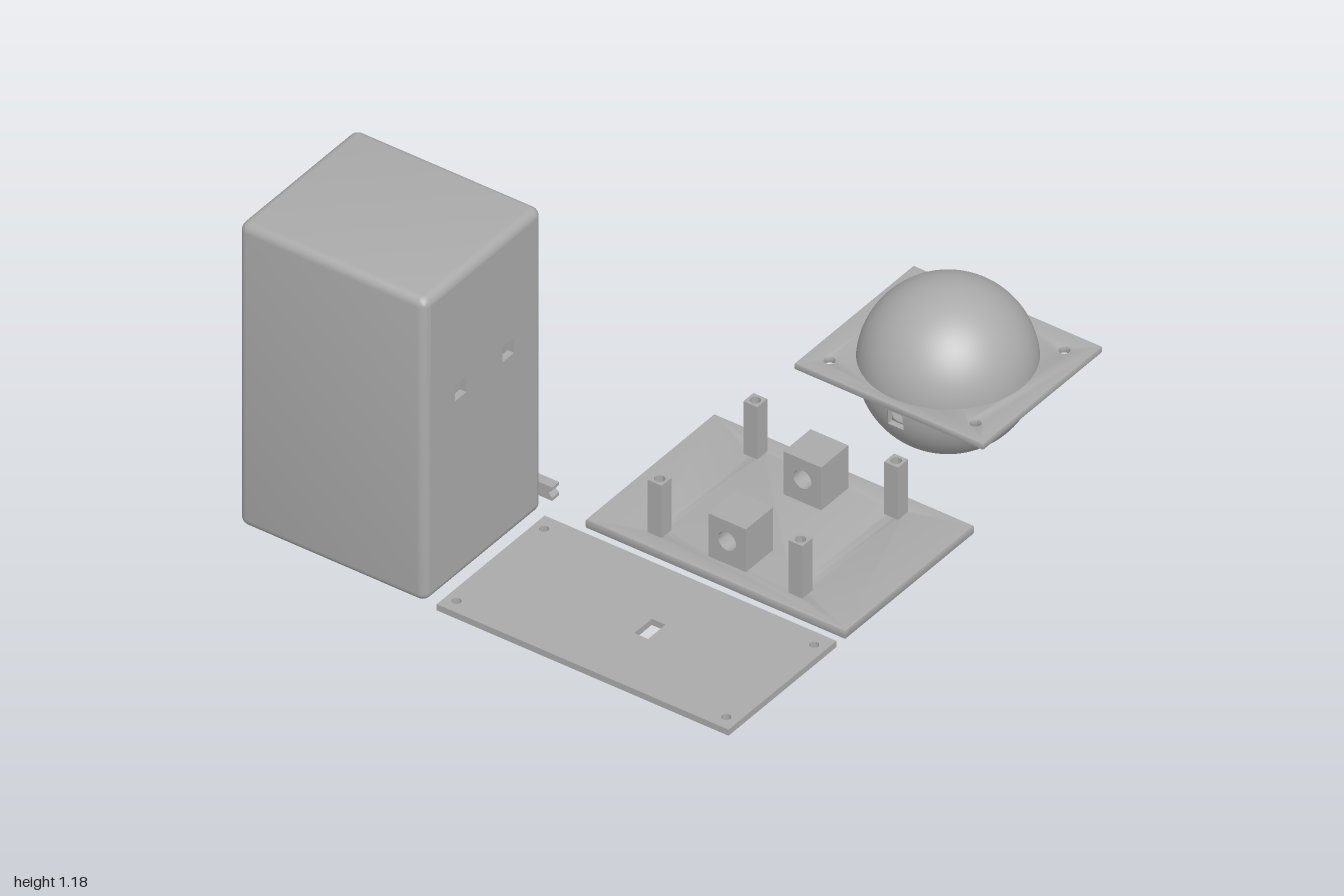
import * as THREE from 'three';
import { toCreasedNormals } from 'three/addons/utils/BufferGeometryUtils.js';

const grey = new THREE.MeshStandardMaterial({ color: 0xaaaaaa, side: THREE.DoubleSide });
grey.name = 'plain grey';

function add(parent, name, geometry) {
  const mesh = new THREE.Mesh(geometry, grey);
  mesh.name = name;
  parent.add(mesh);
  return mesh;
}

function rect(PathType, x0, x1, y0, y1) {
  return new PathType([[x0, y0], [x1, y0], [x1, y1], [x0, y1]].map(p => new THREE.Vector2(...p)));
}

function circle(x, y, r) {
  return new THREE.Path().absarc(x, y, r, 0, Math.PI * 2, true);
}

function extrude(shape, depth, bevel = 0) {
  const g = new THREE.ExtrudeGeometry(shape, {
    depth: depth - 2 * bevel, curveSegments: 24, bevelEnabled: bevel > 0,
    bevelSize: bevel, bevelThickness: bevel, bevelOffset: -bevel, bevelSegments: 2,
  });
  g.translate(0, 0, bevel);
  return toCreasedNormals(g, 0.6);
}

// Horizontal slab with vertical holes
function slab(x0, x1, z0, z1, y, height, holes, bevel) {
  const shape = rect(THREE.Shape, x0, x1, -z1, -z0);
  shape.holes.push(...holes);
  return extrude(shape, height, bevel).rotateX(-Math.PI / 2).translate(0, y, 0);
}

// Profile of (-z, y) extruded along x
function alongX(shape, x0, x1) {
  return extrude(shape, x1 - x0).rotateY(Math.PI / 2).translate(x0, 0, 0);
}

function cornerHoles(xs, zs, r) {
  return xs.flatMap(x => zs.map(z => circle(x, -z, r)));
}

// Rounded tall case with a recessed back and two square front openings
function buildCase() {
  const group = new THREE.Group();
  group.name = 'case';
  const x0 = -1, x1 = -0.37, y1 = 1.18, front = -0.225, back = -0.95, r = 0.032, steps = 5;
  const sections = [];
  for (let i = 0; i <= steps; i++) {
    const a = i / steps * Math.PI / 2;
    sections.push([front - r * (1 - Math.sin(a)), r * (1 - Math.cos(a))]);
  }
  const rounded = sections.map(([z, inset]) => [z, inset]);
  sections.length = 0;
  // front edge, back edge, then the step into the recess
  rounded.forEach((s, i) => {
    const a = i / steps * Math.PI / 2;
    sections.push([front - r * (1 - Math.cos(a)), r * (1 - Math.sin(a))]);
  });
  for (let i = 0; i <= steps; i++) {
    const a = i / steps * Math.PI / 2;
    sections.push([back + r * (1 - Math.sin(a)), r * (1 - Math.cos(a))]);
  }
  sections.push([back + 0.03, r]);

  const pos = [], index = [], n = 4 * (steps + 1);
  for (const [z, inset] of sections) {
    for (let k = 0; k < n; k++) {
      const corner = Math.floor(k / (steps + 1));
      const a = (corner + (k % (steps + 1)) / steps) * Math.PI / 2;
      const cx = corner === 0 || corner === 3 ? x1 - r : x0 + r;
      const cy = corner < 2 ? y1 - r : r;
      pos.push(cx + (r - inset) * Math.cos(a), cy + (r - inset) * Math.sin(a), z);
    }
  }
  for (let s = 0; s < sections.length - 1; s++) {
    for (let k = 0; k < n; k++) {
      const a = s * n + k, b = s * n + (k + 1) % n;
      index.push(a, a + n, b, b, a + n, b + n);
    }
  }
  const shell = new THREE.BufferGeometry();
  shell.setAttribute('position', new THREE.Float32BufferAttribute(pos, 3));
  shell.setIndex(index);
  add(group, 'caseWalls', toCreasedNormals(shell, 0.6));

  const face = rect(THREE.Shape, x0 + r, x1 - r, r, y1 - r);
  for (const x of [-0.81, -0.555]) {
    face.holes.push(rect(THREE.Path, x - 0.031, x + 0.031, 0.7, 0.762));
  }
  add(group, 'caseFront', extrude(face, 0.025).translate(0, 0, front - 0.025));

  const cx = (x0 + x1) / 2, width = x1 - x0 - 2 * r;
  add(group, 'caseBack', new THREE.PlaneGeometry(width, y1 - 2 * r)
    .rotateY(Math.PI).translate(cx, y1 / 2, back + 0.03));
  for (const y of [0.2, 0.52]) {
    add(group, 'backSeam', new THREE.BoxGeometry(width, 0.004, 0.004).translate(cx, y, back + 0.029));
  }
  return group;
}

// Hollow ball with two round and two square ports, set in a mounting flange
function buildBall() {
  const group = new THREE.Group();
  group.name = 'ballMount';
  const outer = 0.29, inner = 0.267, ball = new THREE.Group();
  ball.name = 'ball';
  ball.position.set(0.68, 0.295, 0.585);
  group.add(ball);
  const ports = [];
  for (const side of [-1, 1]) {
    ports.push({ axis: new THREE.Vector3(side * 0.13, -0.11, -0.235).normalize(), centre: new THREE.Vector3(), size: 0.05 });
    ports.push({ axis: new THREE.Vector3(side, 0, 0), centre: new THREE.Vector3(0, -0.055, 0), size: 0.03, square: true });
  }

  // Moves vertices inside a port to its rim and drops the faces within
  function skin(radius) {
    const src = new THREE.SphereGeometry(radius, 160, 100).toNonIndexed().attributes.position;
    const pos = [], normals = [];
    for (let i = 0; i < src.count; i += 3) {
      const tri = [];
      let inside = 0;
      for (let j = 0; j < 3; j++) {
        const v = new THREE.Vector3().fromBufferAttribute(src, i + j);
        for (const { axis, centre, size, square } of ports) {
          const along = v.dot(axis);
          if (along <= 0) continue;
          const p = v.clone().addScaledVector(axis, -along).sub(centre);
          const d = square ? Math.max(Math.abs(p.y), Math.abs(p.z)) : p.length();
          if (d >= size) continue;
          inside++;
          p.multiplyScalar(size / Math.max(d, 1e-6)).add(centre);
          v.copy(p).addScaledVector(axis, Math.sqrt(radius * radius - p.lengthSq()));
          break;
        }
        tri.push(v);
      }
      if (inside === 3) continue;
      for (const v of tri) {
        pos.push(v.x, v.y, v.z);
        normals.push(v.x / radius, v.y / radius, v.z / radius);
      }
    }
    const g = new THREE.BufferGeometry();
    g.setAttribute('position', new THREE.Float32BufferAttribute(pos, 3));
    g.setAttribute('normal', new THREE.Float32BufferAttribute(normals, 3));
    return g;
  }
  add(ball, 'ballOuterSkin', skin(outer));
  add(ball, 'ballInnerSkin', skin(inner));

  for (const { axis, centre, size, square } of ports) {
    const r = square ? size * Math.SQRT2 : size;
    const g = new THREE.CylinderGeometry(r, r, 0.022, square ? 4 : 32, 1, true, Math.PI / 4);
    const lining = add(ball, 'portLining', toCreasedNormals(g, 0.6));
    lining.quaternion.setFromUnitVectors(new THREE.Vector3(0, 1, 0), axis);
    lining.position.copy(centre).addScaledVector(axis, 0.27);
  }
  const holes = cornerHoles([0.44, 0.915], [0.3, 0.865], 0.018);
  holes.push(circle(0.68, -0.585, 0.28));
  add(group, 'flange', slab(0.363, 1, 0.22, 0.95, 0.297, 0.025, holes, 0.004));
  return group;
}

export function createModel() {
  const model = new THREE.Group();
  model.name = 'enclosureKit';
  model.add(buildCase(), buildBall());

  // Loose rear cover with screw holes and a slot
  const coverHoles = cornerHoles([-0.95, -0.48], [-0.14, 0.905], 0.016);
  coverHoles.push(rect(THREE.Path, -0.76, -0.667, -0.465, -0.412));
  add(model, 'rearCover', slab(-1, -0.422, -0.18, 0.95, 0, 0.024, coverHoles));

  // Base plate with hollow posts and bored blocks
  const postX = [-0.29, 0.222], postZ = [0.17, 0.715];
  add(model, 'basePlate', slab(-0.375, 0.313, -0.055, 0.95, 0, 0.036, cornerHoles(postX, postZ, 0.018), 0.006));
  for (const x of postX) {
    for (const z of postZ) {
      add(model, 'post', slab(x - 0.027, x + 0.027, z - 0.027, z + 0.027, 0.03, 0.21, [circle(x, -z, 0.018)]));
    }
  }
  for (const x of [-0.308, 0.095]) {
    const side = rect(THREE.Shape, -0.517, -0.371, 0.03, 0.203);
    side.holes.push(circle(-0.444, 0.125, 0.035));
    add(model, 'boredBlock', alongX(side, x, x + 0.145));
  }

  // Small rail with notched ends
  const rail = new THREE.Shape([
    [0.225, 0], [0.785, 0], [0.785, 0.015], [0.773, 0.028], [0.79, 0.04], [0.79, 0.052],
    [0.225, 0.052], [0.225, 0.04], [0.24, 0.026], [0.225, 0.012],
  ].map(p => new THREE.Vector2(...p)));
  add(model, 'rail', alongX(rail, -0.32, -0.283));
  return model;
}
